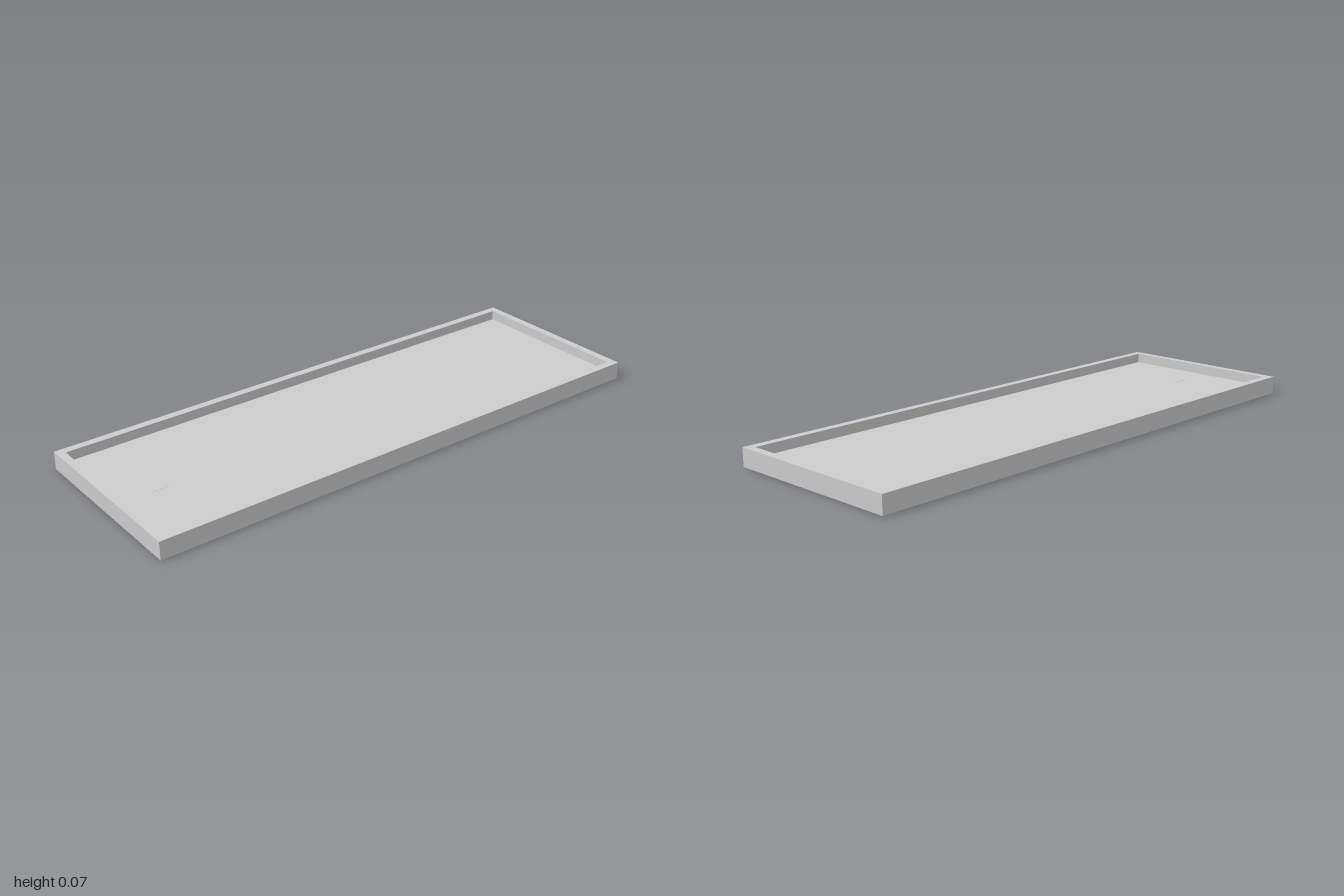
import * as THREE from 'three';

const WIDTH = 0.686, LENGTH = 2, HEIGHT = 0.066, RIM = 0.029, FLOOR = 0.03;

// Rectangle outline with optionally rounded corners
function rectangle(Path, w, l, r = 0) {
  const x = w / 2, y = l / 2, p = new Path();
  if (!r) {
    return p.moveTo(-x, -y).lineTo(x, -y).lineTo(x, y).lineTo(-x, y).closePath();
  }
  p.absarc(x - r, -y + r, r, -Math.PI / 2, 0);
  p.absarc(x - r, y - r, r, 0, Math.PI / 2);
  p.absarc(-x + r, y - r, r, Math.PI / 2, Math.PI);
  p.absarc(-x + r, -y + r, r, Math.PI, Math.PI * 1.5);
  return p.closePath();
}

export function createModel() {
  const group = new THREE.Group();
  group.name = 'showerTray';
  const material = new THREE.MeshStandardMaterial({ color: 0xcccccc });

  const add = (name, geometry, y, z = 0) => {
    const mesh = new THREE.Mesh(geometry, material);
    mesh.name = name;
    mesh.position.set(0, y, z);
    group.add(mesh);
  };

  // Base slab whose top is the tray floor
  add('base', new THREE.BoxGeometry(WIDTH, FLOOR, LENGTH), FLOOR / 2);

  // Raised rim around the floor
  const outline = rectangle(THREE.Shape, WIDTH, LENGTH);
  outline.holes.push(rectangle(THREE.Path, WIDTH - 2 * RIM, LENGTH - 2 * RIM, 0.005));
  const rim = new THREE.ExtrudeGeometry(outline, {
    depth: HEIGHT - FLOOR, bevelEnabled: false, curveSegments: 4,
  });
  rim.rotateX(-Math.PI / 2);
  add('rim', rim, FLOOR);

  // Square drain cover, nearly flush with the floor
  add('drainCover', new THREE.BoxGeometry(0.062, 0.004, 0.062), FLOOR - 0.0015, 0.815);

  return group;
}
